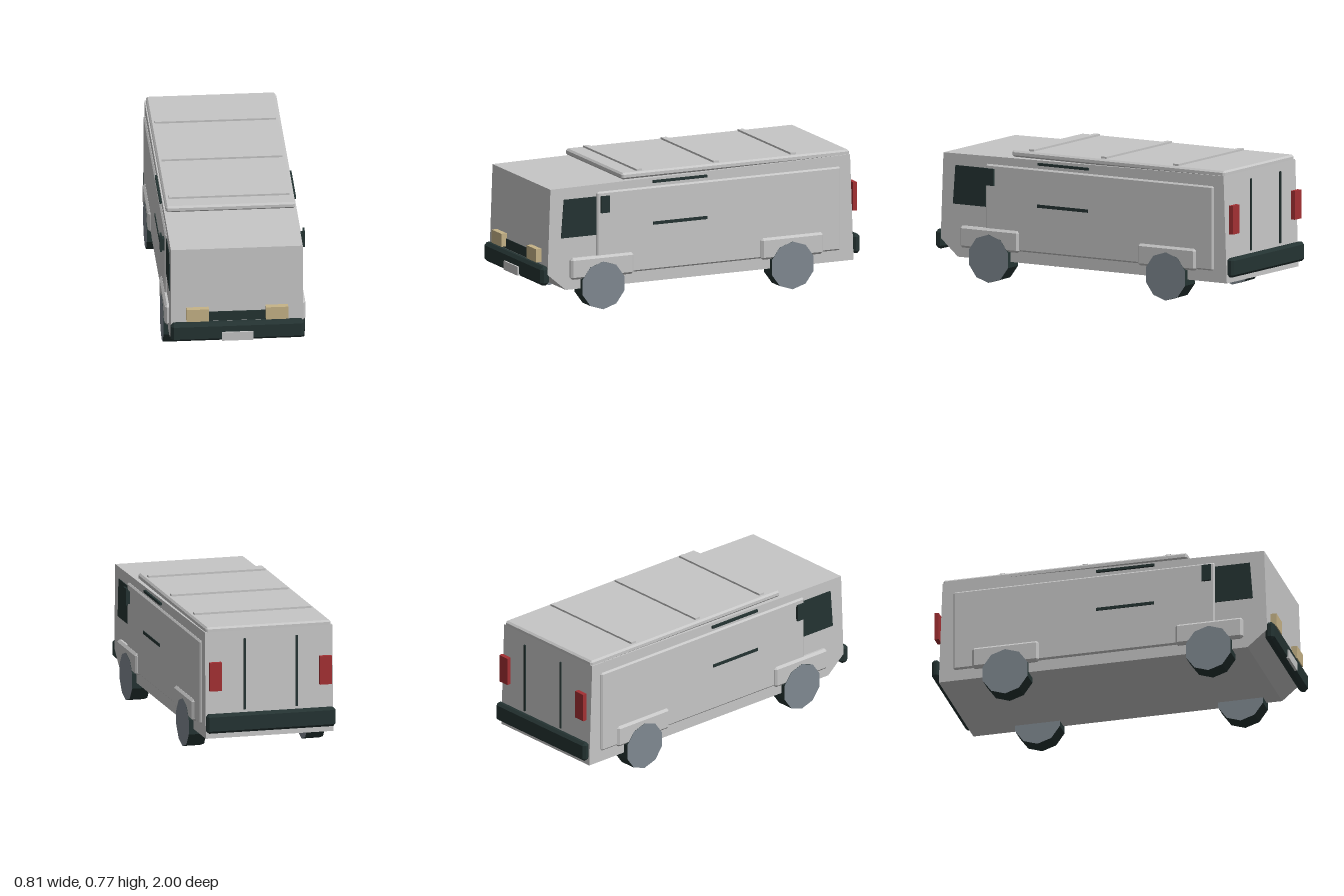
import * as THREE from 'three';
import { ConvexGeometry } from 'three/addons/geometries/ConvexGeometry.js';

const mat = (name, color) => {
  const m = new THREE.MeshStandardMaterial({ color });
  m.name = name;
  return m;
};

// Box with every edge chamfered by b
function chamferBox(w, h, d, b) {
  const [x, y, z] = [w / 2, h / 2, d / 2];
  const points = [];
  for (const i of [-1, 1]) for (const j of [-1, 1]) for (const k of [-1, 1]) {
    points.push(
      new THREE.Vector3(i * x, j * (y - b), k * (z - b)),
      new THREE.Vector3(i * (x - b), j * y, k * (z - b)),
      new THREE.Vector3(i * (x - b), j * (y - b), k * z));
  }
  return new ConvexGeometry(points);
}

// Side outline given as [z, y] pairs, extruded across x and centred
function sideExtrude(outline, width) {
  const shape = new THREE.Shape(outline.map(([z, y]) => new THREE.Vector2(z, y)));
  return new THREE.ExtrudeGeometry(shape, { depth: width, bevelEnabled: false })
    .translate(0, 0, -width / 2).rotateY(-Math.PI / 2);
}

export function createModel() {
  const van = new THREE.Group();
  van.name = 'van';
  const paint = mat('grey paint', 0xc6c6c6);
  const dark = mat('dark trim', 0x243332);
  const hub = mat('wheel grey', 0x7f8890);
  const amber = mat('headlight tan', 0xc6b387);
  const red = mat('tail light red', 0xa33033);

  const add = (name, geometry, material, x = 0, y = 0, z = 0) => {
    const mesh = new THREE.Mesh(geometry, material);
    mesh.name = name;
    mesh.position.set(x, y, z);
    van.add(mesh);
    return mesh;
  };
  // Part from its extents; a chamfer of 0 gives a plain box
  const block = (name, material, [x0, x1], [y0, y1], [z0, z1], b = 0) => {
    const size = [x1 - x0, y1 - y0, z1 - z0];
    const geometry = b ? chamferBox(...size, b) : new THREE.BoxGeometry(...size);
    return add(name, geometry, material, (x0 + x1) / 2, (y0 + y1) / 2, (z0 + z1) / 2);
  };
  const pair = (name, material, [x0, x1], y, z, b = 0) => {
    block(name + 'Left', material, [x0, x1], y, z, b);
    block(name + 'Right', material, [-x1, -x0], y, z, b);
  };

  // Body shell with sloped nose underside
  add('body', sideExtrude([
    [0.836, 0.128], [0.95, 0.225], [0.932, 0.712], [-0.935, 0.735], [-0.957, 0.128],
  ].reverse(), 0.742), paint);

  // Raised roof and cross ribs
  block('roofPanel', paint, [-0.364, 0.364], [0.724, 0.761], [-0.935, 0.482], 0.01);
  for (const z of [0.365, -0.117, -0.597]) {
    block('roofRib', paint, [-0.34, 0.34], [0.75, 0.772], [z - 0.017, z + 0.017]);
  }

  // Side panels, wheel arches and trim
  pair('sidePanel', paint, [0.352, 0.382], [0.193, 0.672], [-0.872, 0.647], 0.009);
  pair('frontArch', paint, [0.345, 0.396], [0.185, 0.309], [0.42, 0.812], 0.013);
  pair('rearArch', paint, [0.345, 0.396], [0.185, 0.309], [-0.76, -0.373], 0.013);
  pair('upperTrim', dark, [0.365, 0.384], [0.692, 0.706], [-0.04, 0.297]);
  pair('lowerTrim', dark, [0.375, 0.386], [0.453, 0.471], [-0.04, 0.297]);

  // Cab windows and mirrors
  const windowGeometry = sideExtrude([
    [0.648, 0.427], [0.867, 0.427], [0.85, 0.647], [0.648, 0.647],
  ], 0.008);
  for (const s of [-1, 1]) add('cabWindow', windowGeometry, dark, s * 0.371);
  pair('mirrorArm', dark, [0.37, 0.398], [0.56, 0.632], [0.585, 0.622]);
  pair('mirror', dark, [0.396, 0.407], [0.555, 0.651], [0.577, 0.631]);

  // Ten-sided wheels, a corner pointing up
  const wheelGeometry = new THREE.CylinderGeometry(0.137, 0.137, 0.103, 10)
    .rotateZ(Math.PI / 2).rotateX(Math.PI / 2).toNonIndexed();
  wheelGeometry.computeVertexNormals();
  for (const s of [-1, 1]) for (const z of [0.615, -0.565]) {
    add('wheel', wheelGeometry, [dark, hub, hub], s * 0.346, 0.138, z);
  }

  // Nose: bumper, number plate blank, grille, headlights
  block('frontBumper', dark, [-0.375, 0.375], [0.163, 0.272], [0.936, 0.99], 0.017);
  block('frontPlate', paint, [-0.088, 0.088], [0.169, 0.22], [0.985, 1]);
  block('grille', dark, [-0.203, 0.203], [0.272, 0.328], [0.942, 0.9505]);
  pair('headlight', amber, [0.16, 0.286], [0.283, 0.358], [0.945, 0.98]);

  // Tail: bumper, door seams, lights
  block('rearBumper', dark, [-0.375, 0.375], [0.163, 0.272], [-1, -0.955], 0.014);
  pair('doorSeam', dark, [0.145, 0.157], [0.29, 0.697], [-0.981, -0.973]);
  pair('tailLight', red, [0.286, 0.354], [0.405, 0.568], [-0.987, -0.962]);

  return van;
}
